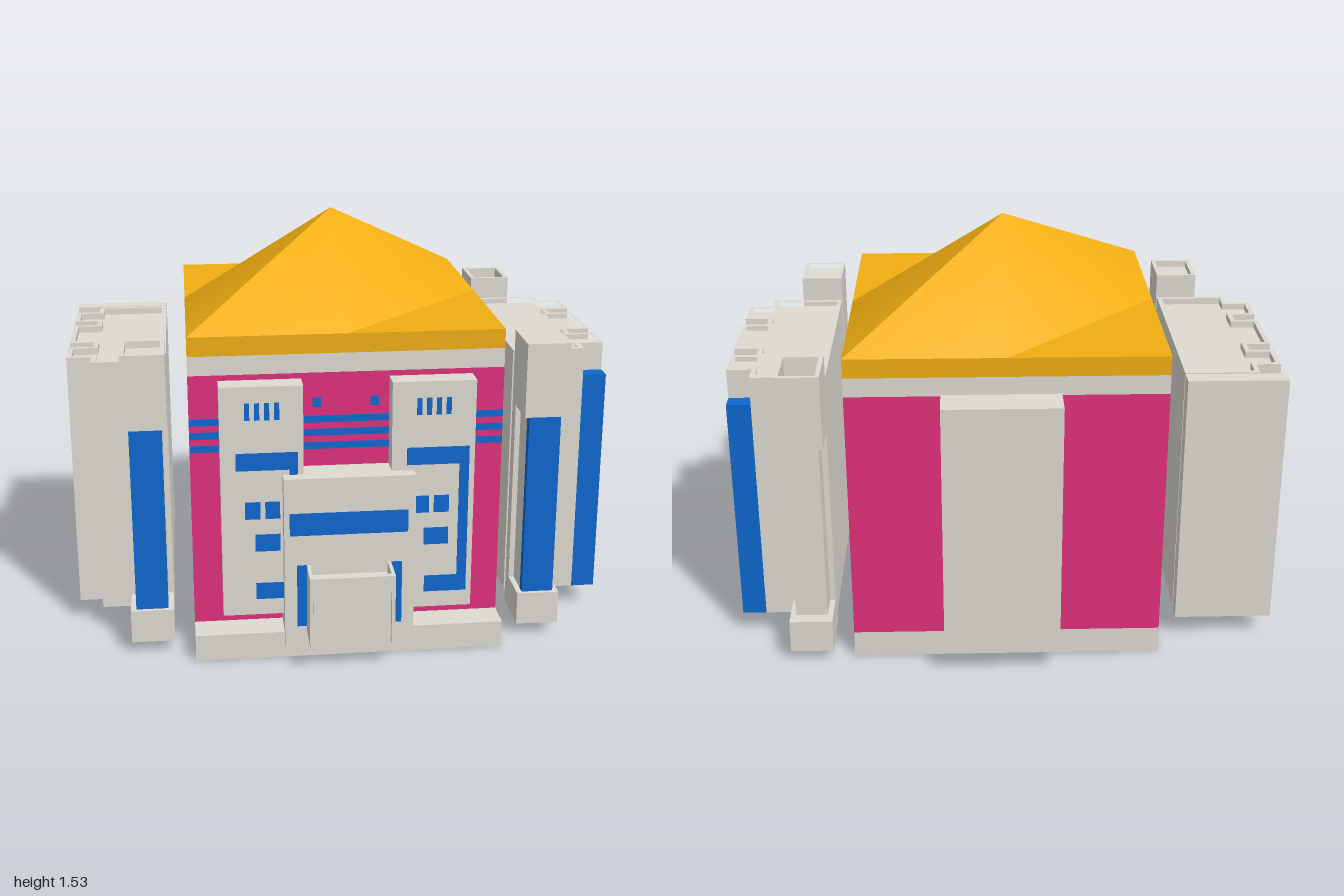
import * as THREE from 'three';

const mat = (color) => new THREE.MeshStandardMaterial({ color });
const STONE = mat(0xdedbd2), PINK = mat(0xe0307c), BLUE = mat(0x0d68cf), GOLD = mat(0xf0ae12);

export function createModel() {
  const root = new THREE.Group();

  const add = (name, geo, material, parent = root) => {
    const m = new THREE.Mesh(geo, material);
    m.name = name;
    parent.add(m);
    return m;
  };
  // Box given by its limits on each axis
  const box = (name, material, x0, x1, y0, y1, z0, z1, parent = root) => {
    const m = add(name, new THREE.BoxGeometry(Math.abs(x1 - x0), y1 - y0, Math.abs(z1 - z0)), material, parent);
    m.position.set((x0 + x1) / 2, (y0 + y1) / 2, (z0 + z1) / 2);
    return m;
  };
  const poly = (pts, Type = THREE.Shape) => new Type(pts.map(([a, b]) => new THREE.Vector2(a, b)));
  const rect = (a0, a1, b0, b1) => [[a0, b0], [a1, b0], [a1, b1], [a0, b1]];
  // Parapet: outline minus inner outline, both in (x, z), raised from y0 to y1
  const rim = (name, outer, inner, y0, y1, parent) => {
    const flip = (p) => p.map(([x, z]) => [x, -z]);
    const shape = poly(flip(outer));
    shape.holes.push(poly(flip(inner), THREE.Path));
    const g = new THREE.ExtrudeGeometry(shape, { depth: y1 - y0, bevelEnabled: false });
    g.rotateX(-Math.PI / 2).translate(0, y0, 0);
    return add(name, g, STONE, parent);
  };

  // Main block in layers
  const W = 0.565, ZB = -0.645, ZF = 0.515;
  box('base', STONE, -W, W, 0, 0.1, ZB, 0.63);
  box('hallWalls', PINK, -W, W, 0.1, 1.05, ZB, ZF);
  box('cornice', STONE, -W, W, 1.05, 1.12, ZB, ZF);
  box('roofEdge', GOLD, -W, W, 1.12, 1.19, ZB, ZF);
  box('rearSlab', STONE, -0.19, 0.23, 0.085, 1.055, -0.77, ZB);

  // Roof: two facing halves meeting on a diagonal ridge, each ending in a flat corner
  const zc = (ZB + ZF) / 2, hz = (ZF - ZB) / 2;
  for (const s of [1, -1]) {
    const pt = (u, y, v) => [s * u * W, y, zc + s * v * hz];
    const half = new THREE.BufferGeometry();
    half.setAttribute('position', new THREE.Float32BufferAttribute([
      pt(0, 1.53, 0), pt(-1, 1.19, 1), pt(0, 1.19, 1), pt(1, 1.19, 0), pt(1, 1.19, -1),
    ].flat(), 3));
    half.setIndex([0, 1, 2, 0, 2, 3, 0, 3, 4]);
    half.computeVertexNormals();
    add('roofHalf', half, GOLD);
  }

  // Stripes and small lights on the front wall
  for (const y of [0.765, 0.815, 0.865]) box('wallStripe', BLUE, -W, W, y, y + 0.025, ZF, ZF + 0.004);
  for (const x of [-0.11, 0.097]) box('wallLight', BLUE, x - 0.015, x + 0.015, 0.923, 0.958, ZF, ZF + 0.004);
  box('wallPlate', PINK, -0.02, 0.008, 0.923, 0.958, ZF, ZF + 0.004);

  // Front towers with flush blue windows
  const tower = (name, x0, x1, windows) => {
    const g = new THREE.Group();
    g.name = name;
    root.add(g);
    box('towerWall', STONE, x0, x1, 0.16, 1.03, ZF, 0.597, g);
    for (const [a, b, c, d] of windows) box('towerWindow', BLUE, a, b, c, d, 0.59, 0.6, g);
  };
  const slits = (x) => [0, 1, 2, 3].map((i) => [x + i * 0.035, x + i * 0.035 + 0.018, 0.907, 0.97]);
  tower('rightTower', -0.46, -0.165, [
    ...slits(-0.372), [-0.405, -0.185, 0.72, 0.785], [-0.215, -0.185, 0.7, 0.72],
    [-0.375, -0.32, 0.535, 0.6], [-0.303, -0.25, 0.535, 0.6],
    [-0.34, -0.25, 0.41, 0.475], [-0.34, -0.24, 0.222, 0.285],
  ]);
  tower('leftTower', 0.15, 0.45, [
    ...slits(0.238), [0.205, 0.43, 0.72, 0.785], [0.395, 0.43, 0.285, 0.72],
    [0.24, 0.287, 0.535, 0.6], [0.305, 0.36, 0.535, 0.6],
    [0.27, 0.36, 0.41, 0.475], [0.275, 0.43, 0.222, 0.285],
  ]);

  // Entrance block and porch
  box('entranceWall', STONE, -0.24, 0.23, 0.045, 0.7, ZF, 0.647);
  box('entranceBand', BLUE, -0.22, 0.205, 0.485, 0.57, 0.64, 0.65);
  for (const x of [-0.195, 0.145]) box('doorStrip', BLUE, x, x + 0.04, 0.13, 0.37, 0.64, 0.65);
  box('porchCore', STONE, -0.145, 0.132, 0.105, 0.33, 0.647, 0.75);
  for (const x of [-0.16, 0.132]) box('porchSide', STONE, x, x + 0.013, 0.105, 0.37, 0.647, 0.77);
  box('porchLip', STONE, -0.147, 0.132, 0.305, 0.37, 0.75, 0.77);

  // Side wings: core, pillars, window panel and parapet
  const wing = (name, s) => {
    const g = new THREE.Group();
    g.name = name;
    root.add(g);
    const top = 1.03, bays = [[-0.4, -0.26], [-0.2, 0.055], [0.115, 0.255]];
    box('wingCore', STONE, s * 0.64, s * 0.91, 0.085, top, -0.475, 0.325, g);
    for (const i of [0, 2]) box('wingPillar', STONE, s * 0.91, s, 0.085, top, ...bays[i], g);

    // Window panel, cut in the (-z, y) plane
    const [z0, z1] = bays[1];
    const panel = poly(rect(-z1, -z0, 0.085, top));
    for (const [y0, y1] of [[0.225, 0.33], [0.4, 0.51], [0.63, 0.85]]) {
      panel.holes.push(poly(rect(-0.038, 0.18, y0, y1), THREE.Path));
    }
    const pg = new THREE.ExtrudeGeometry(panel, { depth: 0.09, bevelEnabled: false });
    pg.rotateY(Math.PI / 2).translate(s > 0 ? 0.91 : -1, 0, 0);
    add('windowPanel', pg, STONE, g);
    box('windowGlass', BLUE, s * 0.91, s * 0.98, 0.15, 0.92, -0.19, 0.045, g);

    // Parapet following the stepped outline, inset by t on the inside
    const outline = (t) => {
      const p = [[0.64 + t, -0.475 + t], [0.91 - t, -0.475 + t]];
      for (const [a, b] of bays) p.push([0.91 - t, a + t], [1 - t, a + t], [1 - t, b - t], [0.91 - t, b - t]);
      p.push([0.91 - t, 0.325 - t], [0.64 + t, 0.325 - t]);
      return p.map(([x, z]) => [s * x, z]);
    };
    rim('wingParapet', outline(0), outline(0.018), top, 1.055, g);
    return g;
  };
  const leftWing = wing('leftWing', 1);
  for (const z of [-0.475, 0.26]) box('cornerStrip', BLUE, 0.91, 0.998, 0.085, 0.95, z, z + 0.065, leftWing);
  const rightWing = wing('rightWing', -1);
  box('wingRearSlab', STONE, -1, -0.64, 0.085, 1.055, -0.55, -0.485, rightWing);

  // Pylons: foot, shaft and hollow head; d is the direction they step outward along z
  const pylon = (name, s, zIn, d, lit, hollow) => {
    const g = new THREE.Group();
    g.name = name;
    root.add(g);
    const z = (k) => zIn + d * k, xa = s * 0.64, xb = s * 0.797;
    box('pylonFoot', STONE, xa, xb, 0.045, 0.17, z(0), z(0.2), g);
    box('pylonBack', STONE, xa, xb, 0.17, 0.865, z(0), z(0.05), g);
    box('pylonShaft', STONE, s * 0.66, s * 0.777, 0.17, 0.865, z(0.05), z(0.152), g);
    if (lit) box('pylonLight', BLUE, s * 0.66, s * 0.777, 0.17, 0.865, z(0.152), z(0.185), g);
    box('pylonHead', STONE, xa, xb, 0.865, 1.14 - hollow, z(0), z(0.2), g);
    rim('pylonRim', rect(xa, xb, z(0), z(0.2)), rect(s * 0.656, s * 0.781, z(0.016), z(0.184)), 1.14 - hollow, 1.14, g);
  };
  pylon('leftFrontPylon', 1, 0.348, 1, true, 0.025);
  pylon('rightFrontPylon', -1, 0.348, 1, true, 0.025);
  pylon('leftRearPylon', 1, -0.48, -1, false, 0.08);

  return root;
}
